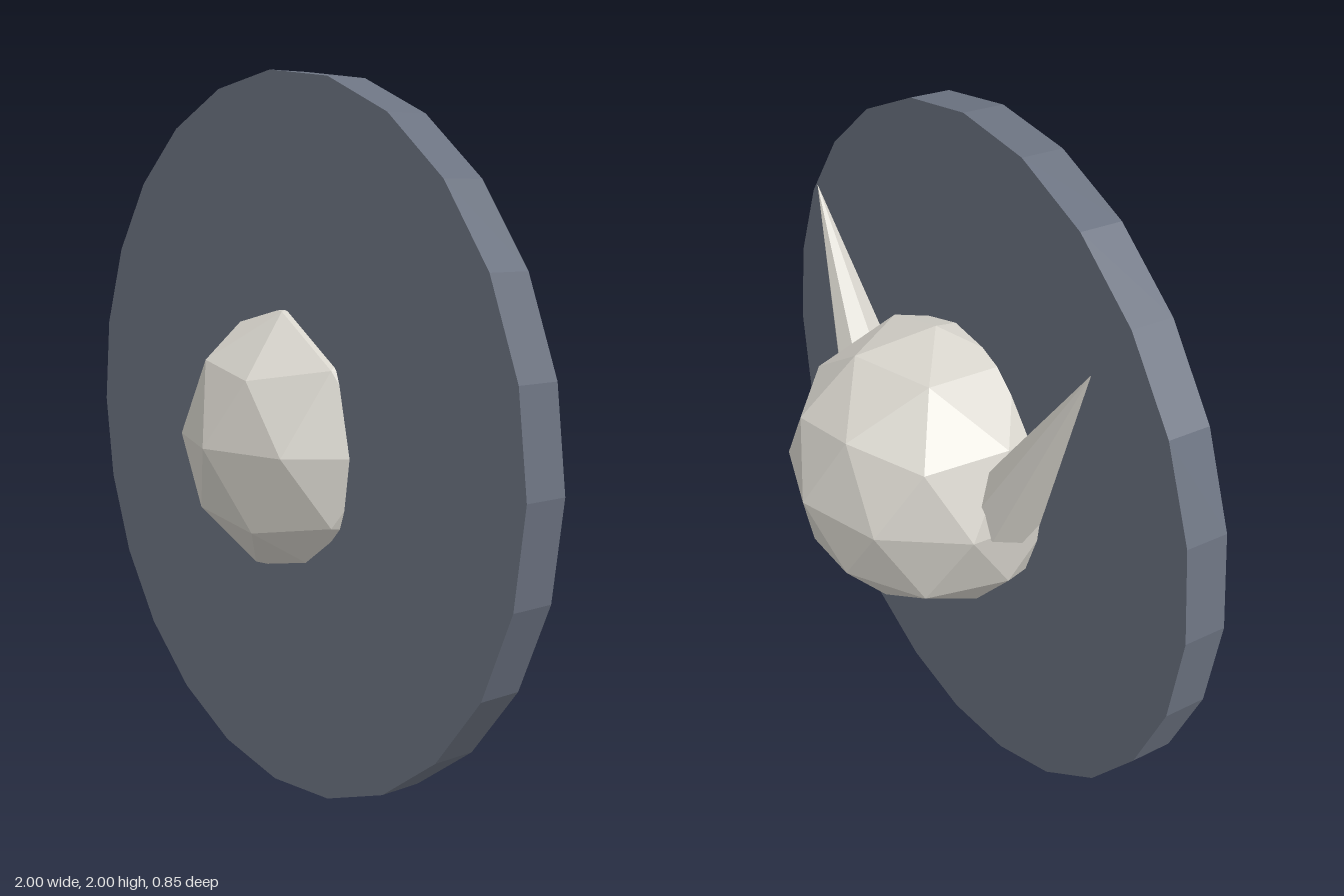
import * as THREE from 'three';

export function createModel() {
  const group = new THREE.Group();
  const bone = new THREE.MeshStandardMaterial({ name: 'bone', color: 0xd6d3cb, flatShading: true });
  const slate = new THREE.MeshStandardMaterial({ name: 'slate', color: 0x6b7280, flatShading: true });

  const add = (name, geometry, material) => {
    const mesh = new THREE.Mesh(geometry, material);
    mesh.name = name;
    group.add(mesh);
    return mesh;
  };

  // Faceted ball, turned so that one five-sided corner points straight up
  const ballGeometry = new THREE.IcosahedronGeometry(0.426, 1);
  ballGeometry.rotateZ(-Math.atan(2 / (1 + Math.sqrt(5))));
  add('ball', ballGeometry, bone).position.set(0, 1, 0);

  // Thick upright disc through the front half of the ball
  const discGeometry = new THREE.CylinderGeometry(1, 1, 0.12, 24).rotateX(Math.PI / 2);
  add('disc', discGeometry, slate).position.set(0, 1, 0.14);

  // Pair of spikes leaning outwards, moved so that the tip is the pivot
  const length = 0.66;
  for (const side of [1, -1]) {
    const spikeGeometry = new THREE.ConeGeometry(0.107, length, 8).translate(0, -length / 2, 0);
    const spike = add(side > 0 ? 'leftSpike' : 'rightSpike', spikeGeometry, bone);
    spike.position.set(side * 0.675, 1.6, 0);
    spike.rotation.z = -side * Math.PI / 6;
  }

  return group;
}
